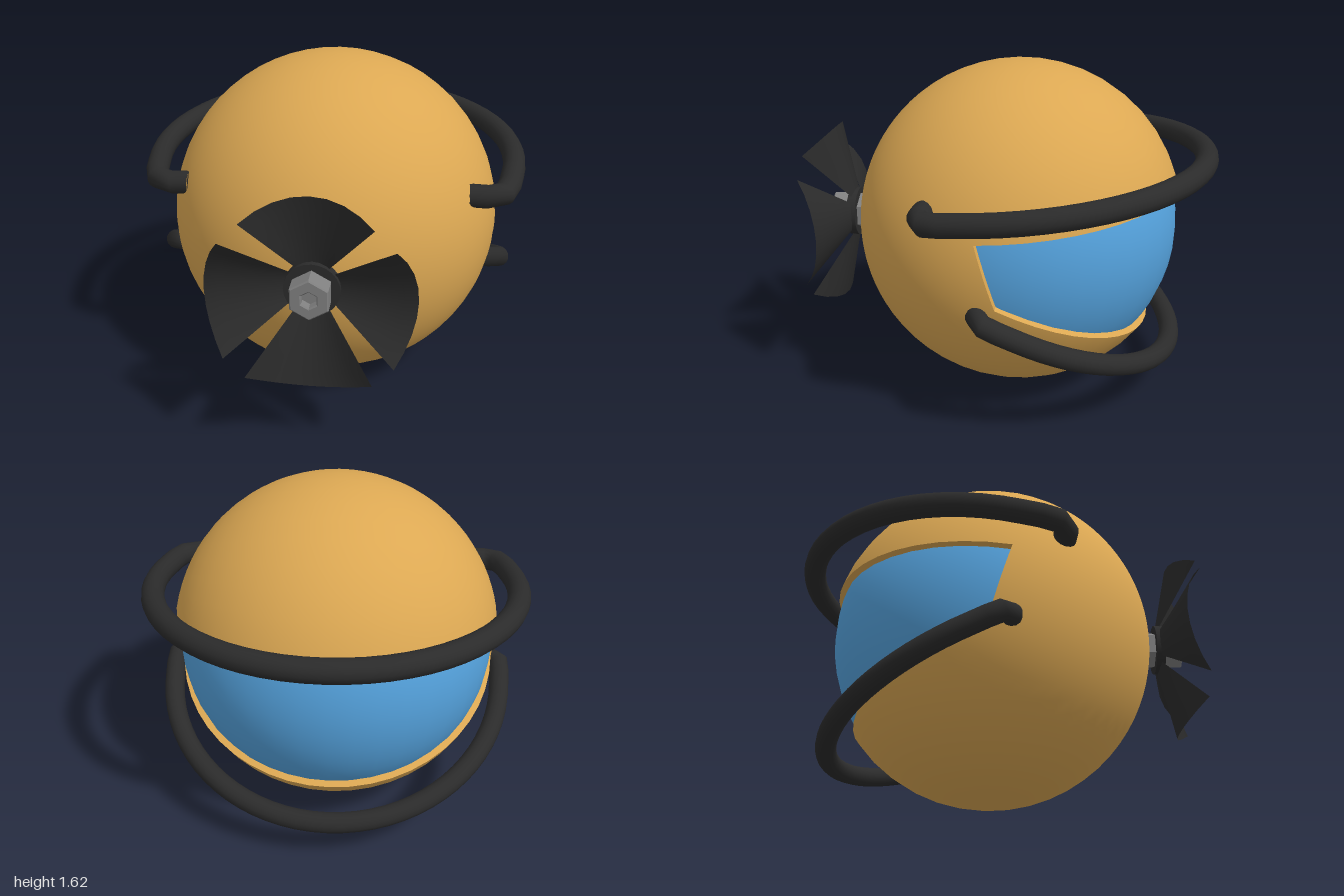
import * as THREE from 'three';

const material = (color, extra = {}) => new THREE.MeshStandardMaterial({ color, ...extra });
const gold = material(0xdca853, { side: THREE.DoubleSide });
const blue = material(0x55a3de);
const black = material(0x2b2b2b);
const blackSheet = material(0x2b2b2b, { side: THREE.DoubleSide });
const steel = material(0x808080, { flatShading: true });

const CENTER = new THREE.Vector3(0, 0.82, -0.035);
const R = 0.81, R_GLASS = 0.78;

// The window's upper and lower edges lie in planes that meet on a line
// parallel to x; the shell is swept by half-planes turning about that line.
const HINGE = { y: 0.93, z: 0.54 };
const TOP = Math.atan(0.09), BOTTOM = -Math.atan(0.471);

function slice(phi) {
  const c = Math.cos(phi), s = Math.sin(phi);
  const dy = CENTER.y - HINGE.y, dz = CENTER.z - HINGE.z;
  const mid = -dz * c + dy * s;
  const rho = Math.sqrt(R * R - dy * dy - dz * dz + mid * mid);
  return { c, s, mid, rho, limit: Math.acos(-mid / rho) };
}

// Fraction of a slice's arc at which the slanted side edge of the window lies
function edgeFraction(phi) {
  if (phi > TOP) {
    const t = (phi - TOP) / (2 * Math.PI + BOTTOM - TOP);
    return THREE.MathUtils.lerp(edgeFraction(TOP), edgeFraction(BOTTOM), t);
  }
  const { c, s, mid, rho, limit } = slice(phi);
  return Math.acos((0.472 / (c + 0.3 * s) - mid) / rho) / limit;
}

function shellPoint(phi, k, radius = R) {
  const { c, s, mid, rho, limit } = slice(phi);
  const a = k * limit, d = mid + rho * Math.cos(a);
  return new THREE.Vector3(rho * Math.sin(a), HINGE.y + d * s, HINGE.z - d * c)
    .sub(CENTER).setLength(radius).add(CENTER);
}

// Grid surface from point(u, v), with u and v from 0 to 1
function patch(point, nu, nv, radial = false) {
  const pos = [], nor = [], index = [];
  for (let i = 0; i <= nu; i++) {
    for (let j = 0; j <= nv; j++) {
      const p = point(i / nu, j / nv);
      pos.push(p.x, p.y, p.z);
      const n = p.clone().sub(CENTER).normalize();
      nor.push(n.x, n.y, n.z);
      if (i < nu && j < nv) {
        const a = i * (nv + 1) + j, b = a + nv + 1;
        index.push(a, a + 1, b, a + 1, b + 1, b);
      }
    }
  }
  const g = new THREE.BufferGeometry();
  g.setAttribute('position', new THREE.Float32BufferAttribute(pos, 3));
  g.setIndex(index);
  if (radial) g.setAttribute('normal', new THREE.Float32BufferAttribute(nor, 3));
  else g.computeVertexNormals();
  return g;
}

function add(parent, name, geometry, mat) {
  const mesh = new THREE.Mesh(geometry, mat);
  mesh.name = name;
  parent.add(mesh);
  return mesh;
}

function buildShell() {
  const shell = new THREE.Group();
  shell.name = 'shell';
  const lerp = THREE.MathUtils.lerp;
  const panel = (name, from, to, rows, k0, k1, cols) =>
    add(shell, name, patch((u, v) => {
      const phi = lerp(from, to, u), f = edgeFraction(phi);
      return shellPoint(phi, lerp(k0(f), k1(f), v));
    }, rows, cols, true), gold);
  const one = () => 1, minusOne = () => -1, plus = f => f, minus = f => -f;
  const END = 2 * Math.PI + BOTTOM;
  panel('shellMiddle', TOP, END, 64, plus, minus, 24);
  for (const [from, to, rows] of [[TOP, END, 64], [BOTTOM, TOP, 8]]) {
    panel('shellLeft', from, to, rows, one, plus, 6);
    panel('shellRight', from, to, rows, minus, minusOne, 6);
  }

  // Thickness of the shell around the window
  const depth = v => lerp(R, R_GLASS - 0.01, v);
  for (const phi of [TOP, BOTTOM]) {
    const f = edgeFraction(phi);
    add(shell, 'windowRim', patch((u, v) => shellPoint(phi, lerp(f, -f, u), depth(v)), 24, 1), gold);
  }
  for (const side of [1, -1]) {
    add(shell, 'windowRim', patch((u, v) => {
      const phi = lerp(BOTTOM, TOP, u);
      return shellPoint(phi, side * edgeFraction(phi), depth(v));
    }, 8, 1), gold);
  }
  return shell;
}

// Rail: a level or tilted arc round the back, both ends turned into the shell
function rail(name, { rx, rz, cz, start, inner, height, radius }) {
  const pts = [];
  const n = 16;
  for (let i = 0; i <= n; i++) {
    const a = THREE.MathUtils.lerp(-start, Math.PI + start, i / n);
    const z = cz - rz * Math.sin(a);
    pts.push(new THREE.Vector3(rx * Math.cos(a), height(z), z));
  }
  const path = new THREE.CurvePath();
  const first = pts[0], last = pts[n];
  const endIn = p => new THREE.Vector3(Math.sign(p.x) * inner, p.y, p.z + 0.01);
  pts.unshift(endIn(first));
  pts.push(endIn(last));
  const curve = new THREE.CatmullRomCurve3(pts, false, 'centripetal');
  const group = new THREE.Group();
  group.name = name;
  add(group, name + 'Tube', new THREE.TubeGeometry(curve, 44, radius, 14), black);
  for (const p of [pts[0], pts[pts.length - 1]]) {
    const cap = add(group, name + 'End', new THREE.CircleGeometry(radius, 14), blackSheet);
    cap.position.copy(p);
    cap.rotation.y = -Math.sign(p.x) * Math.PI / 2;
  }
  return group;
}

function buildPropeller() {
  const propeller = new THREE.Group();
  propeller.name = 'propeller';
  propeller.position.y = CENTER.y;

  // Cupped fan-shaped blades, their side edges swept forward
  const half = 0.645;
  const blade = patch((u, v) => {
    const r = 0.09 + 0.37 * u, w = 2 * v - 1, a = w * half;
    return new THREE.Vector3(r * Math.sin(a), r * Math.cos(a),
      0.815 + (r - 0.09) * (0.22 + 0.28 * w * w));
  }, 6, 8);
  for (let i = 0; i < 4; i++) {
    add(propeller, 'blade', blade, blackSheet).rotation.z = i * Math.PI / 2;
  }

  const disc = (name, r, z0, z1, sides, mat) => {
    const m = add(propeller, name, new THREE.CylinderGeometry(r, r, z1 - z0, sides), mat);
    m.rotation.x = Math.PI / 2;
    m.position.z = (z0 + z1) / 2;
  };
  disc('hub', 0.125, 0.805, 0.85, 24, black);
  disc('nut', 0.095, 0.72, 0.815, 6, steel);

  // Bolt head with a hexagonal socket
  const hex = (Type, r) => {
    const s = new Type();
    for (let i = 0; i < 6; i++) {
      const a = Math.PI / 6 + i * Math.PI / 3;
      s[i ? 'lineTo' : 'moveTo'](r * Math.cos(a), r * Math.sin(a));
    }
    s.closePath();
    return s;
  };
  const head = hex(THREE.Shape, 0.09);
  head.holes.push(hex(THREE.Path, 0.045));
  add(propeller, 'boltHead', new THREE.ExtrudeGeometry(head, {
    depth: 0.09, bevelSize: 0.006, bevelThickness: 0.006, bevelSegments: 1,
  }), steel).position.z = 0.845;
  disc('boltSocketFloor', 0.06, 0.845, 0.9, 6, steel);
  return propeller;
}

export function createModel() {
  const model = new THREE.Group();
  model.name = 'propellerPod';
  model.add(buildShell());
  add(model, 'window', new THREE.SphereGeometry(R_GLASS, 40, 28), blue).position.copy(CENTER);
  model.add(rail('upperRail', {
    rx: 0.885, rz: 0.885, cz: -0.06, start: 0.43, inner: 0.66, radius: 0.055,
    height: z => 1.098 - 0.107 * z + 0.02 * (1 - z * z) - 0.015,
  }));
  model.add(rail('lowerRail', {
    rx: 0.84, rz: 0.755, cz: -0.06, start: 0.16, inner: 0.72, radius: 0.05,
    height: z => 0.6 + 0.445 * z,
  }));
  model.add(buildPropeller());
  return model;
}
